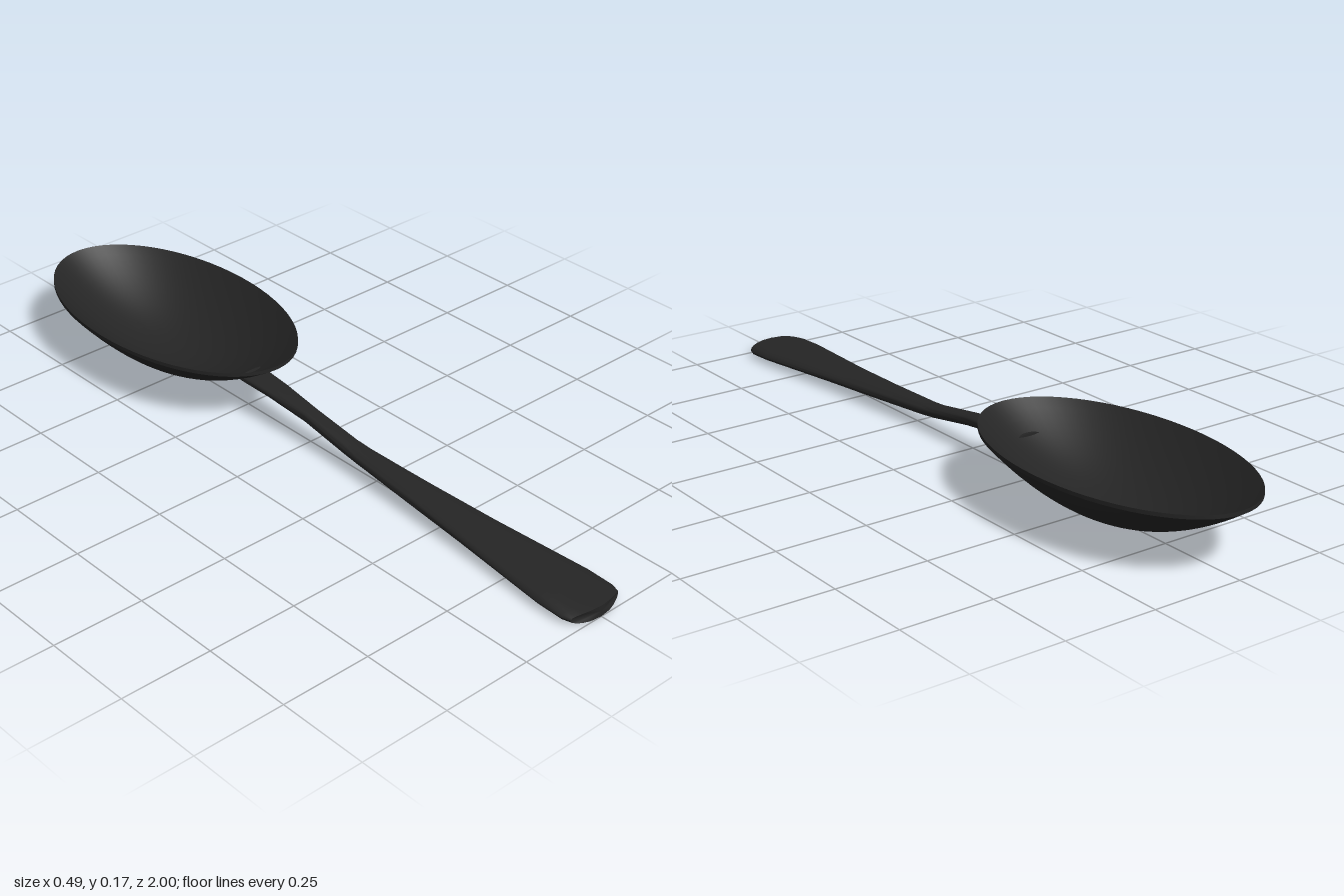
import * as THREE from 'three';
import { toCreasedNormals } from 'three/addons/utils/BufferGeometryUtils.js';

// Shallow oval bowl: parabolic outside, thin wall, flat-edged rim
function bowlGeometry() {
  const steps = 16, bottom = 0.012, depth = 0.15, wall = 0.01;
  const profile = [];
  for (let i = 0; i <= steps; i++) {
    const r = i / steps;
    profile.push(new THREE.Vector2(r, bottom + depth * r * r));
  }
  for (let i = steps; i >= 0; i--) {
    const r = i / steps;
    profile.push(new THREE.Vector2(r, bottom + wall + depth * r * r));
  }
  const geometry = new THREE.LatheGeometry(profile, 64);
  geometry.scale(0.245, 1, 0.435);
  geometry.translate(0, 0, -0.565);
  return toCreasedNormals(geometry, 0.5);
}

// Handle lofted through lens-shaped cross-sections
function handleGeometry() {
  // z, centre height, half width, half thickness, setback of the side edges
  const sections = [
    [-0.235, 0.103, 0.04, 0.012, 0],
    [-0.13, 0.097, 0.034, 0.014, 0],
    [0, 0.082, 0.025, 0.016, 0],
    [0.15, 0.058, 0.028, 0.016, 0],
    [0.2, 0.053, 0.031, 0.016, 0],
    [0.4, 0.042, 0.046, 0.016, 0],
    [0.6, 0.033, 0.062, 0.016, 0],
    [0.88, 0.022, 0.09, 0.017, 0],
    [0.965, 0.019, 0.09, 0.017, 0.01],
    [1, 0.018, 0.082, 0.016, 0.022],
  ];
  const sides = 20;
  const positions = [], index = [];
  for (const [z, y, w, t, setback] of sections) {
    for (let j = 0; j < sides; j++) {
      const a = (j / sides) * Math.PI * 2;
      const c = Math.cos(a), s = Math.sin(a);
      const u = Math.sign(c) * Math.pow(Math.abs(c), 0.8);
      const v = Math.sign(s) * Math.pow(Math.abs(s), 0.85);
      positions.push(u * w, y + v * t, z - setback * u * u);
    }
  }
  const last = sections.length - 1;
  for (let i = 0; i < last; i++) {
    for (let j = 0; j < sides; j++) {
      const k = (j + 1) % sides;
      const a = i * sides + j, b = i * sides + k;
      index.push(a, b, b + sides, a, b + sides, a + sides);
    }
  }
  // End caps
  const inner = positions.length / 3, outer = inner + 1;
  positions.push(0, sections[0][1], sections[0][0]);
  positions.push(0, sections[last][1], sections[last][0]);
  for (let j = 0; j < sides; j++) {
    const k = (j + 1) % sides;
    index.push(inner, k, j, outer, last * sides + j, last * sides + k);
  }
  const geometry = new THREE.BufferGeometry();
  geometry.setAttribute('position', new THREE.Float32BufferAttribute(positions, 3));
  geometry.setIndex(index);
  return toCreasedNormals(geometry, 0.8);
}

export function createModel() {
  const group = new THREE.Group();
  group.name = 'spoon';
  const black = new THREE.MeshStandardMaterial({ color: 0x252525 });
  black.name = 'matte black';

  const bowl = new THREE.Mesh(bowlGeometry(), black);
  bowl.name = 'bowl';
  const handle = new THREE.Mesh(handleGeometry(), black);
  handle.name = 'handle';
  group.add(bowl, handle);
  return group;
}
